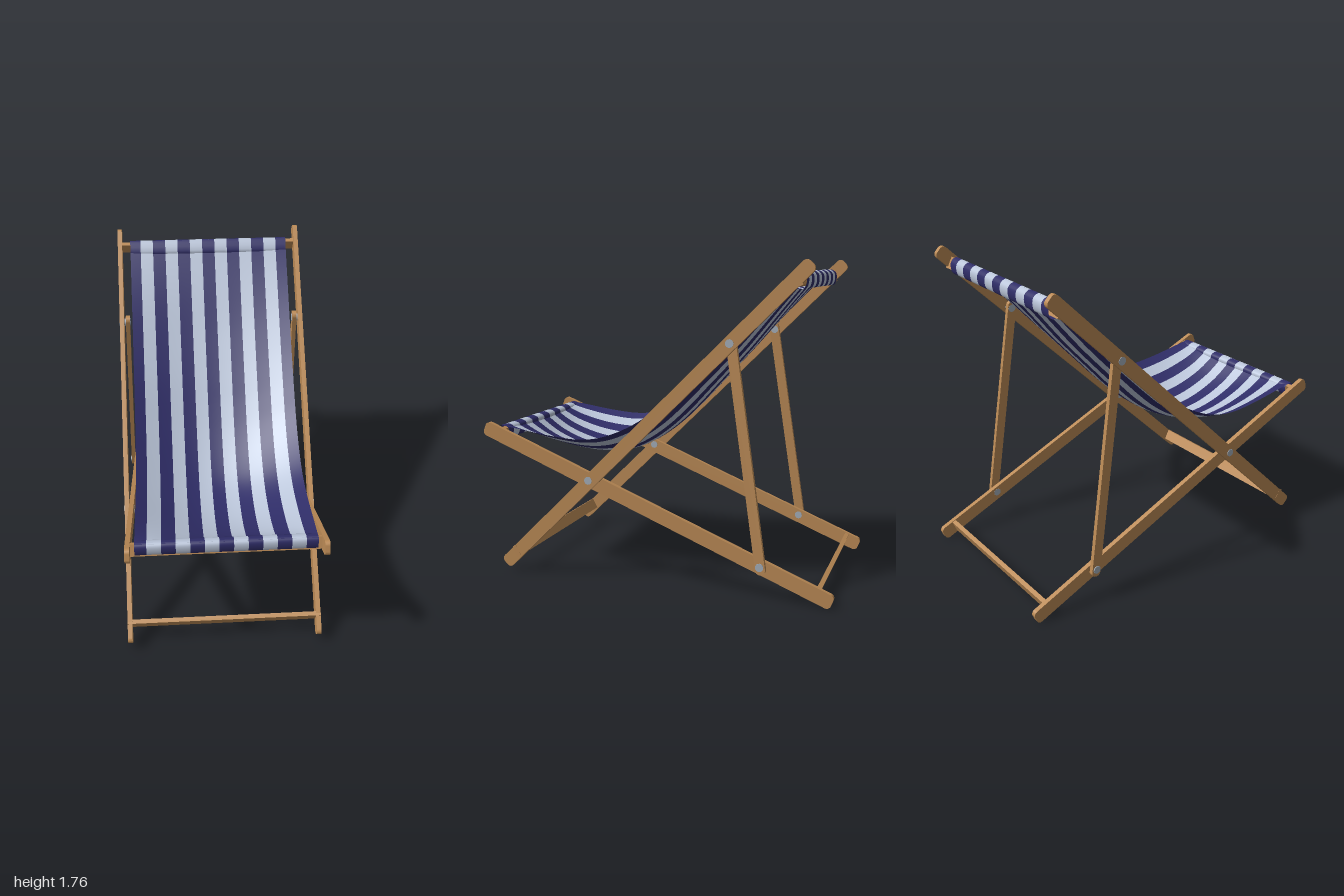
import * as THREE from 'three';

const mat = (name, color, side = THREE.FrontSide) => {
  const m = new THREE.MeshStandardMaterial({ color, side });
  m.name = name;
  return m;
};
const V = (x, y, z) => new THREE.Vector3(x, y, z);

export function createModel() {
  const model = new THREE.Group();
  model.name = 'deckChair';
  const wood = mat('wood', 0xbc8b56);
  const steel = mat('steel', 0xa6b0bc);
  const navy = mat('navyCanvas', 0x2f2d68, THREE.DoubleSide);
  const pale = mat('paleCanvas', 0xbcc7db, THREE.DoubleSide);

  const add = (name, geometry, material) => {
    const mesh = new THREE.Mesh(geometry, material);
    mesh.name = name;
    model.add(mesh);
    return mesh;
  };

  // Flat wooden bar with rounded ends, running from a to b
  function rail(name, a, b, width, thick, r) {
    const u = b.clone().sub(a);
    const l = u.length() / 2, h = width / 2;
    u.normalize();
    const n = V(1, 0, 0).addScaledVector(u, -u.x).normalize();
    const v = n.clone().cross(u);
    const s = new THREE.Shape();
    s.absarc(l - r, h - r, r, 0, Math.PI / 2);
    s.absarc(-l + r, h - r, r, Math.PI / 2, Math.PI);
    s.absarc(-l + r, -h + r, r, Math.PI, Math.PI * 1.5);
    s.absarc(l - r, -h + r, r, Math.PI * 1.5, Math.PI * 2);
    const g = new THREE.ExtrudeGeometry(s, { depth: thick, bevelEnabled: false, curveSegments: 6 });
    g.translate(0, 0, -thick / 2);
    g.applyMatrix4(new THREE.Matrix4().makeBasis(u, v, n).setPosition(a.clone().add(b).multiplyScalar(0.5)));
    add(name, g, wood);
  }

  // Side frames, mirrored
  for (const s of [1, -1]) {
    const side = s > 0 ? 'left' : 'right';
    rail(side + 'BackRail', V(s * 0.526, 0.05, 0.868), V(s * 0.526, 1.745, -0.852), 0.074, 0.026, 0.025);
    rail(side + 'SeatRail', V(s * 0.5, 0.827, 0.992), V(s * 0.5, 0.033, -0.992), 0.08, 0.026, 0.025);
    rail(side + 'Strut', V(s * 0.491, 1.386, -0.437), V(s * 0.526, 0.15, -0.624), 0.054, 0.024, 0.025);
    // Pivot bolts: y, z, inner x, outer x
    for (const [y, z, x0, x1] of [[1.345, -0.445, 0.478, 0.542], [0.575, 0.345, 0.485, 0.542], [0.19, -0.616, 0.485, 0.541]]) {
      const bolt = add(side + 'Bolt', new THREE.CylinderGeometry(0.022, 0.022, x1 - x0, 16).rotateZ(Math.PI / 2), steel);
      bolt.position.set(s * (x0 + x1) / 2, y, z);
    }
  }

  // Crossbars: name, width, y, z, tilt
  for (const [name, w, y, z, tilt] of [
    ['headCrossbar', 1.06, 1.664, -0.785, 0.47],
    ['frontFootCrossbar', 1.08, 0.128, 0.797, 0.47],
    ['seatFrontCrossbar', 1.0, 0.793, 0.903, -0.38],
    ['rearFootCrossbar', 1.0, 0.07, -0.91, -0.38],
  ]) {
    const bar = add(name, new THREE.BoxGeometry(w, 0.066, 0.024), wood);
    bar.position.set(0, y, z);
    bar.rotation.x = tilt;
  }

  // Canvas profiles as [z, y]
  const curve = (pts, closed = false) =>
    new THREE.CatmullRomCurve3(pts.map(([z, y]) => V(0, y, z)), closed);
  const edge = curve([[-0.78, 1.706], [-0.6, 1.525], [-0.42, 1.345], [-0.3, 1.227], [-0.2, 1.135], [-0.1, 1.045],
    [0, 0.958], [0.14, 0.868], [0.3, 0.803], [0.435, 0.783], [0.62, 0.795], [0.8, 0.82], [0.915, 0.836]]);
  const middle = curve([[-0.78, 1.706], [-0.61, 1.5], [-0.44, 1.29], [-0.32, 1.155], [-0.22, 1.045], [-0.12, 0.935],
    [0, 0.82], [0.13, 0.725], [0.26, 0.665], [0.4, 0.645], [0.57, 0.662], [0.76, 0.73], [0.915, 0.836]]);
  const headHem = curve([[-0.775, 1.706], [-0.808, 1.69], [-0.815, 1.655], [-0.802, 1.62],
    [-0.768, 1.618], [-0.725, 1.645]], true);
  const frontHem = curve([[0.905, 0.837], [0.924, 0.825], [0.927, 0.785], [0.915, 0.758],
    [0.89, 0.756], [0.872, 0.785], [0.868, 0.822]], true);

  // One stripe of fabric between x0 and x1, sagging from side curve to middle curve
  const half = 0.465;
  function stripe(name, sideCurve, midCurve, rows, x0, x1, material) {
    const cols = 5, pos = [], idx = [];
    for (let i = 0; i <= rows; i++) {
      const p = sideCurve.getPoint(i / rows), q = midCurve.getPoint(i / rows);
      for (let j = 0; j <= cols; j++) {
        const x = x0 + (x1 - x0) * j / cols;
        const c = p.clone().lerp(q, Math.cos(Math.PI * x / (2 * half)));
        pos.push(x, c.y, c.z);
        if (i < rows && j < cols) {
          const a = i * (cols + 1) + j, b = a + cols + 1;
          idx.push(a, b, a + 1, a + 1, b, b + 1);
        }
      }
    }
    const g = new THREE.BufferGeometry();
    g.setAttribute('position', new THREE.Float32BufferAttribute(pos, 3));
    g.setIndex(idx);
    g.computeVertexNormals();
    add(name, g, material);
  }

  // Thirteen alternating stripes, navy at both borders
  const pitch = 0.0735;
  for (let k = -6; k <= 6; k++) {
    const x0 = Math.max(-half, (k - 0.5) * pitch), x1 = Math.min(half, (k + 0.5) * pitch);
    const m = k % 2 === 0 ? navy : pale;
    stripe('slingStripe', edge, middle, 60, x0, x1, m);
    stripe('headHemStripe', headHem, headHem, 24, x0, x1, m);
    stripe('frontHemStripe', frontHem, frontHem, 24, x0, x1, m);
  }
  return model;
}
